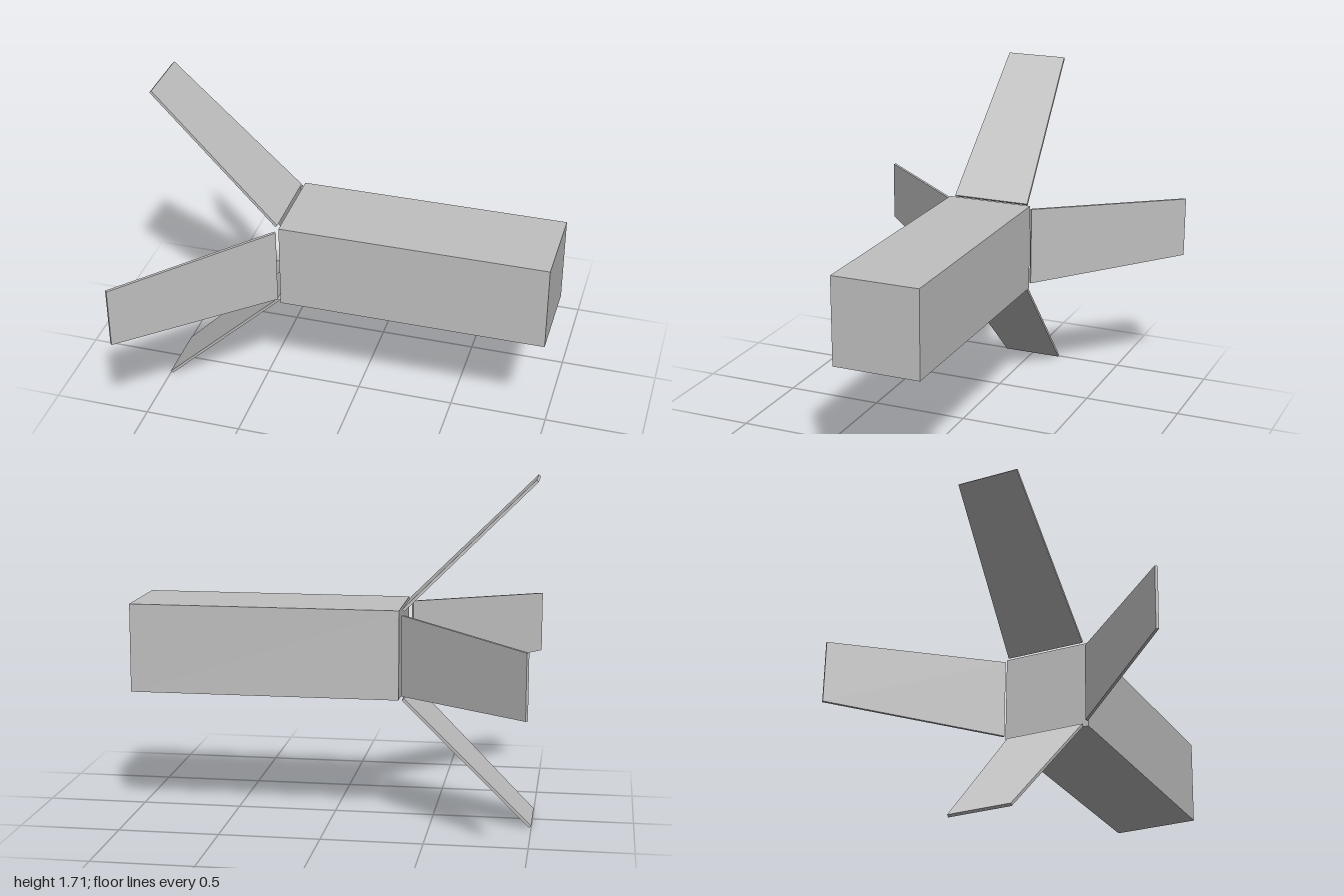
import * as THREE from 'three';

export function createModel() {
  const model = new THREE.Group();
  const grey = new THREE.MeshStandardMaterial({ color: 0xc0c0c0, flatShading: true });
  grey.name = 'light grey';
  const axisY = 0.857;

  // Long square body
  const body = new THREE.Mesh(new THREE.BoxGeometry(1.345, 0.444, 0.444), grey);
  body.name = 'body';
  body.position.set(0.3275, axisY, 0);
  model.add(body);

  // Thin tapered panel, swept outwards and back at 45 degrees
  const length = 0.893, thickness = 0.014;
  const outline = new THREE.Shape([
    new THREE.Vector2(-0.2, 0), new THREE.Vector2(0.2, 0),
    new THREE.Vector2(0.156, length), new THREE.Vector2(-0.156, length),
  ]);
  const panel = new THREE.ExtrudeGeometry(outline, { depth: thickness, bevelEnabled: false });
  panel.translate(0, 0, -thickness / 2);
  panel.rotateY(Math.PI / 2);
  panel.rotateZ(Math.PI / 4);
  panel.translate(-0.363, 0.221, 0);

  // Four panels around the body axis
  ['topPanel', 'frontPanel', 'bottomPanel', 'backPanel'].forEach((name, i) => {
    const mesh = new THREE.Mesh(panel, grey);
    mesh.name = name;
    mesh.position.y = axisY;
    mesh.rotation.x = i * Math.PI / 2;
    model.add(mesh);
  });
  return model;
}
